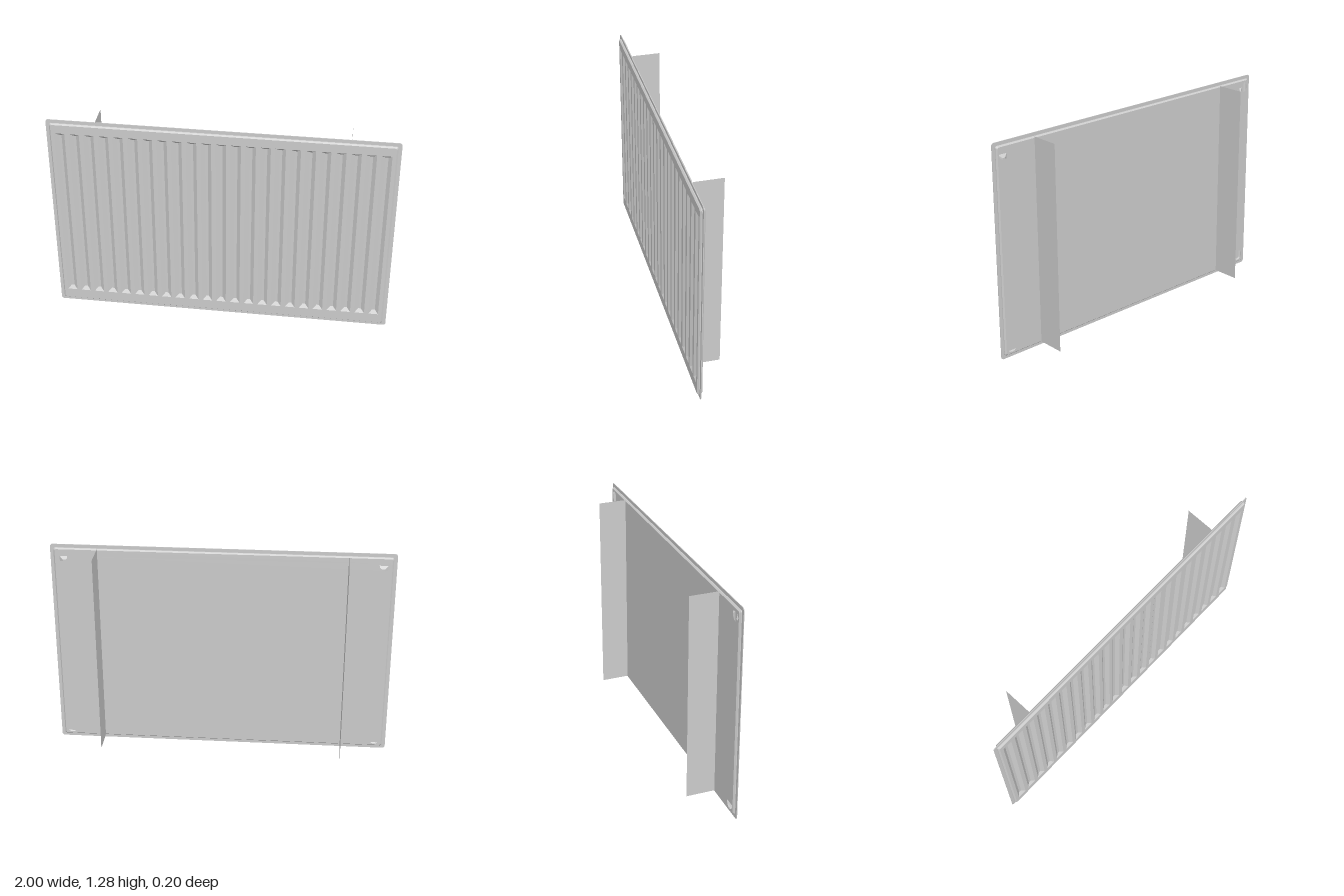
import * as THREE from 'three';

const W = 1, H = 0.64;            // half width and half height of the seam flange
const MID = 0.085;                // z of the seam between the two pressed sheets
const FRONT = 0.1, BACK = 0.07;

const material = new THREE.MeshStandardMaterial({ color: 0xcccccc, side: THREE.DoubleSide, flatShading: true });

// Rounded rectangle outline, counter-clockwise, centred on the panel
function outline(hw, hh, r, PathType = THREE.Shape) {
  const p = new PathType();
  const corners = [[hw - r, r - hh, -0.5], [hw - r, hh - r, 0], [r - hw, hh - r, 0.5], [r - hw, r - hh, 1]];
  for (const [x, y, a] of corners) p.absarc(x, y + H, r, a * Math.PI, (a + 0.5) * Math.PI, false);
  return p;
}

// Closed loop of points at depth z from an outline
function loopAt(hw, hh, r, z) {
  return outline(hw, hh, r).getPoints(4).map(p => [p.x, p.y, z]);
}

// Skin between successive loops of equal length, optionally capped with a fan
function loft(loops, cap = false) {
  const pos = [];
  const n = loops[0].length;
  for (let k = 0; k < loops.length - 1; k++) {
    for (let i = 0; i < n; i++) {
      const j = (i + 1) % n, a = loops[k], b = loops[k + 1];
      pos.push(...a[i], ...a[j], ...b[j], ...a[i], ...b[j], ...b[i]);
    }
  }
  const last = loops[loops.length - 1];
  if (cap) for (let i = 1; i < n - 1; i++) pos.push(...last[0], ...last[i], ...last[i + 1]);
  const g = new THREE.BufferGeometry();
  g.setAttribute('position', new THREE.Float32BufferAttribute(pos, 3));
  g.computeVertexNormals();
  return g;
}

function rect(cx, hw, y0, y1, z) {
  return [[cx - hw, y0, z], [cx + hw, y0, z], [cx + hw, y1, z], [cx - hw, y1, z]];
}

export function createModel() {
  const group = new THREE.Group();
  const add = (name, geometry, parent = group) => {
    const mesh = new THREE.Mesh(geometry, material);
    mesh.name = name;
    parent.add(mesh);
    return mesh;
  };

  // Thin seam flange around the edge
  const rim = outline(W, H, 0.016);
  rim.holes.push(outline(0.979, 0.619, 0.012, THREE.Path));
  add('seamFlange', new THREE.ExtrudeGeometry(rim, { depth: 0.004, bevelEnabled: false, curveSegments: 4 })
    .translate(0, 0, MID - 0.002));

  // Side walls of the front and back sheets
  const wall = loopAt(0.98, 0.62, 0.012, FRONT - 0.008);
  const seam = loopAt(0.98, 0.62, 0.012, MID);
  const backWall = loopAt(0.98, 0.62, 0.012, BACK + 0.008);
  add('frontSheetEdge', loft([seam, wall, loopAt(0.972, 0.613, 0.01, FRONT)]));
  add('backSheetEdge', loft([loopAt(0.972, 0.613, 0.01, BACK), backWall, seam]));

  // Front sheet with a row of pressed vertical grooves
  const count = 23, pitch = 0.0838, half = 0.029, y0 = 0.088, y1 = 1.2;
  const front = outline(0.972, 0.613, 0.01);
  const grooves = new THREE.Group();
  grooves.name = 'grooves';
  group.add(grooves);
  for (let i = 0; i < count; i++) {
    const x = (i - (count - 1) / 2) * pitch;
    const slot = rect(x, half, y0, y1, 0).map(([px, py]) => new THREE.Vector2(px, py));
    front.holes.push(new THREE.Path(slot));
    add('groove', loft([rect(x, half, y0, y1, FRONT), rect(x, 0.008, y0 + 0.022, y1 - 0.017, FRONT - 0.016)], true), grooves);
  }
  add('frontSheet', new THREE.ShapeGeometry(front, 4).translate(0, 0, FRONT));

  // Back sheet with round connection holes in the corners
  const back = outline(0.972, 0.613, 0.01);
  for (const sx of [-1, 1]) for (const sy of [-1, 1]) {
    const hole = new THREE.Path();
    hole.absarc(sx * 0.932, H + sy * 0.572, 0.033, 0, Math.PI * 2, true);
    back.holes.push(hole);
  }
  const backGeometry = new THREE.ShapeGeometry(back, 8);
  backGeometry.rotateY(Math.PI).translate(0, 0, BACK);
  add('backSheet', backGeometry);

  // Thin upright wall brackets behind the panel
  for (const s of [-1, 1]) {
    const bracket = add(s > 0 ? 'leftBracket' : 'rightBracket', new THREE.PlaneGeometry(0.17, 1.236));
    bracket.rotation.y = Math.PI / 2;
    bracket.position.set(s * 0.724, H + 0.002, -0.015);
  }
  return group;
}
